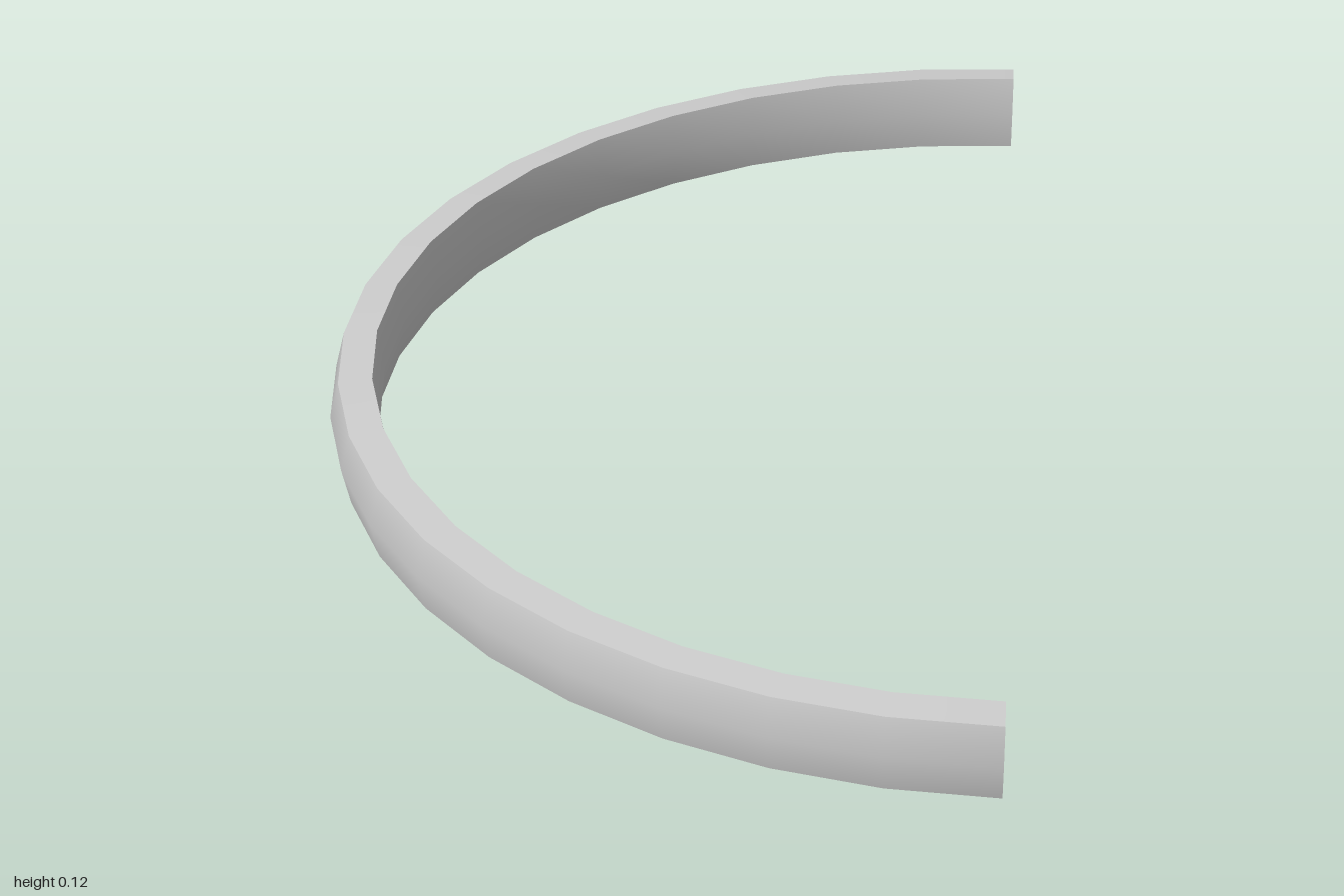
import * as THREE from 'three';

export function createModel() {
  const group = new THREE.Group();
  const material = new THREE.MeshStandardMaterial({ color: 0xcccccc });
  const add = (name, geometry) => {
    const mesh = new THREE.Mesh(geometry, material);
    mesh.name = name;
    mesh.position.x = 0.5; // centre of the half ring
    group.add(mesh);
  };
  const p = (r, y) => new THREE.Vector2(r, y);

  // Cross-section (radius, height), counter-clockwise, bulging on both walls
  const outerWall = [p(0.987, 0.006), p(1, 0.0615), p(0.987, 0.117)];
  const innerWall = [p(0.937, 0.123), p(0.927, 0.0615), p(0.937, 0)];

  // Each strip is its own sweep so the edges between strips stay sharp
  const strips = {
    outerWall,
    topFace: [outerWall[2], innerWall[0]],
    innerWall,
    bottomFace: [innerWall[2], outerWall[0]],
  };
  for (const [name, profile] of Object.entries(strips)) {
    add(name, new THREE.LatheGeometry(profile, 20, Math.PI, Math.PI));
  }

  // Flat caps at both open ends, facing +x
  for (const side of [-1, 1]) {
    const outline = [...outerWall, ...innerWall].map((v) => p(-side * v.x, v.y));
    const cap = new THREE.ShapeGeometry(new THREE.Shape(outline));
    add(side > 0 ? 'frontEndCap' : 'backEndCap', cap.rotateY(Math.PI / 2));
  }
  return group;
}
